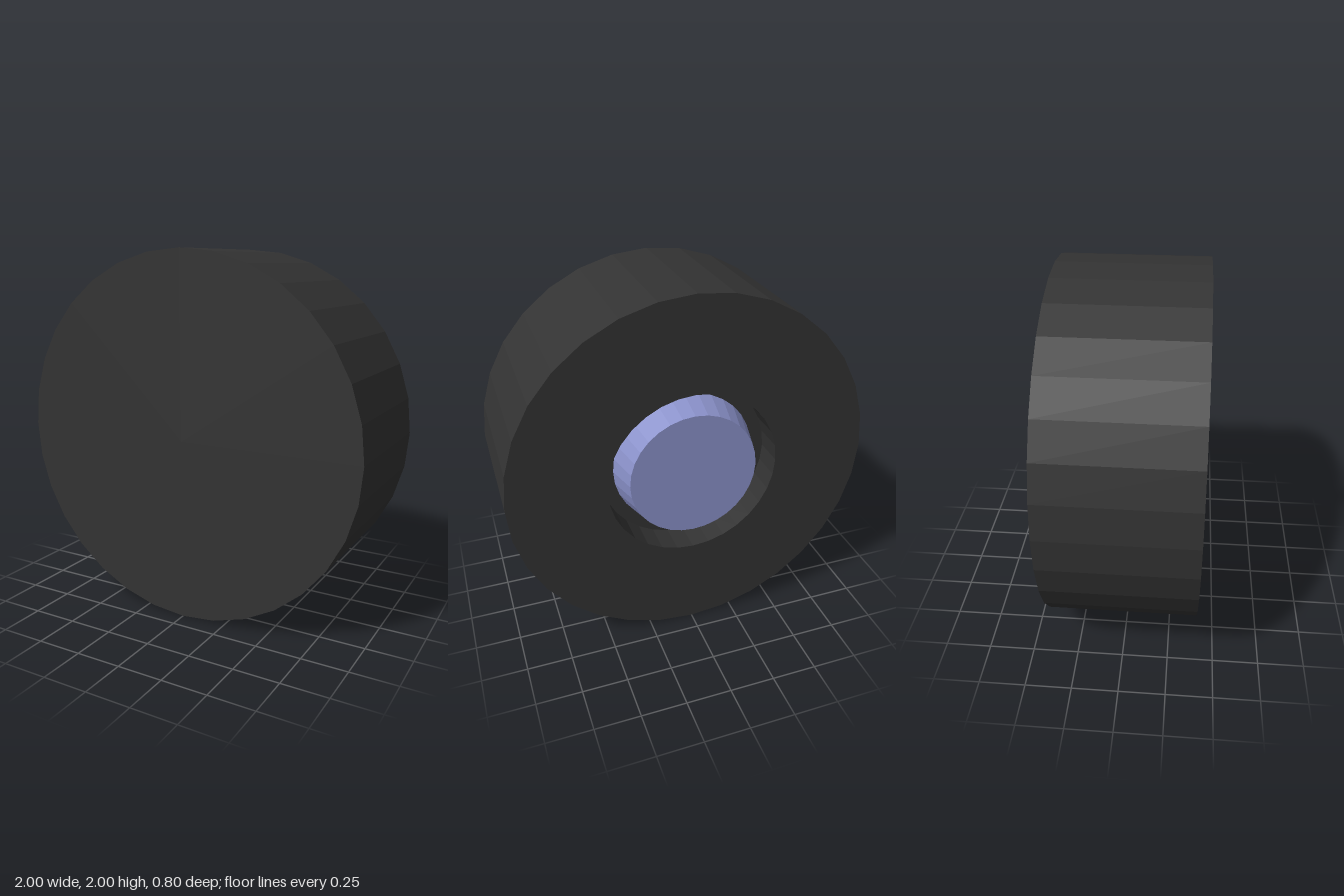
import * as THREE from 'three';

const SIDES = 32;

// Turns a [radius, depth] profile about the z axis; depth grows toward the back (-z).
function turned(name, color, profile) {
  const points = profile.map(([r, d]) => new THREE.Vector2(r, d));
  const geometry = new THREE.LatheGeometry(points, SIDES);
  geometry.rotateX(-Math.PI / 2);
  const material = new THREE.MeshStandardMaterial({ color, flatShading: true });
  const mesh = new THREE.Mesh(geometry, material);
  mesh.name = name;
  mesh.position.y = 1;
  return mesh;
}

export function createModel() {
  const group = new THREE.Group();
  group.name = 'roundHousing';

  // Drum with a closed front and a round recess in its back
  group.add(turned('housing', 0x333333, [
    [0, -0.4], [1, -0.4], [1, 0.4], [0.475, 0.4], [0.475, 0.23], [0, 0.23],
  ]));

  // Tapered plug standing in the recess
  group.add(turned('lens', 0x8b92cb, [
    [0.4, 0.23], [0.355, 0.402], [0, 0.402],
  ]));

  return group;
}
